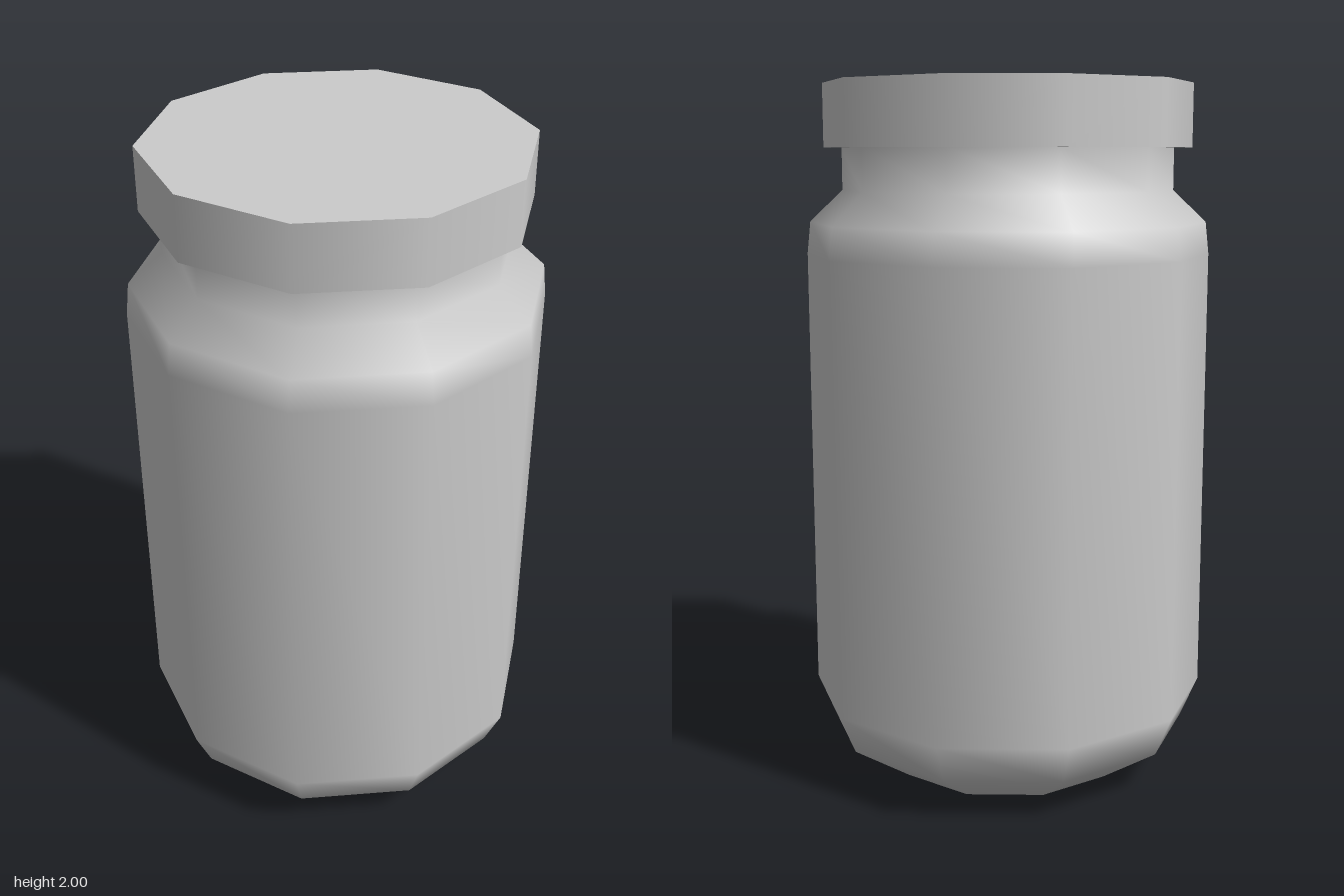
import * as THREE from 'three';

const SIDES = 10;

export function createModel() {
  const group = new THREE.Group();
  group.name = 'jar';
  const material = new THREE.MeshStandardMaterial({ color: 0xcccccc });

  const add = (name, geometry, y = 0) => {
    const mesh = new THREE.Mesh(geometry, material);
    mesh.name = name;
    mesh.position.y = y;
    group.add(mesh);
  };

  // Jar body: base, rounded foot, straight wall, shoulder and neck
  const profile = [
    [0, 0], [0.355, 0], [0.53, 0.115], [0.58, 0.23],
    [0.58, 1.52], [0.57, 1.61], [0.475, 1.7], [0.475, 1.82],
  ].map(([r, y]) => new THREE.Vector2(r, y));
  add('jarBody', new THREE.LatheGeometry(profile, SIDES));

  // Lid: flat-topped and wider than the neck
  const lidHeight = 0.18;
  add('lid', new THREE.CylinderGeometry(0.527, 0.527, lidHeight, SIDES), 2 - lidHeight / 2);

  return group;
}
